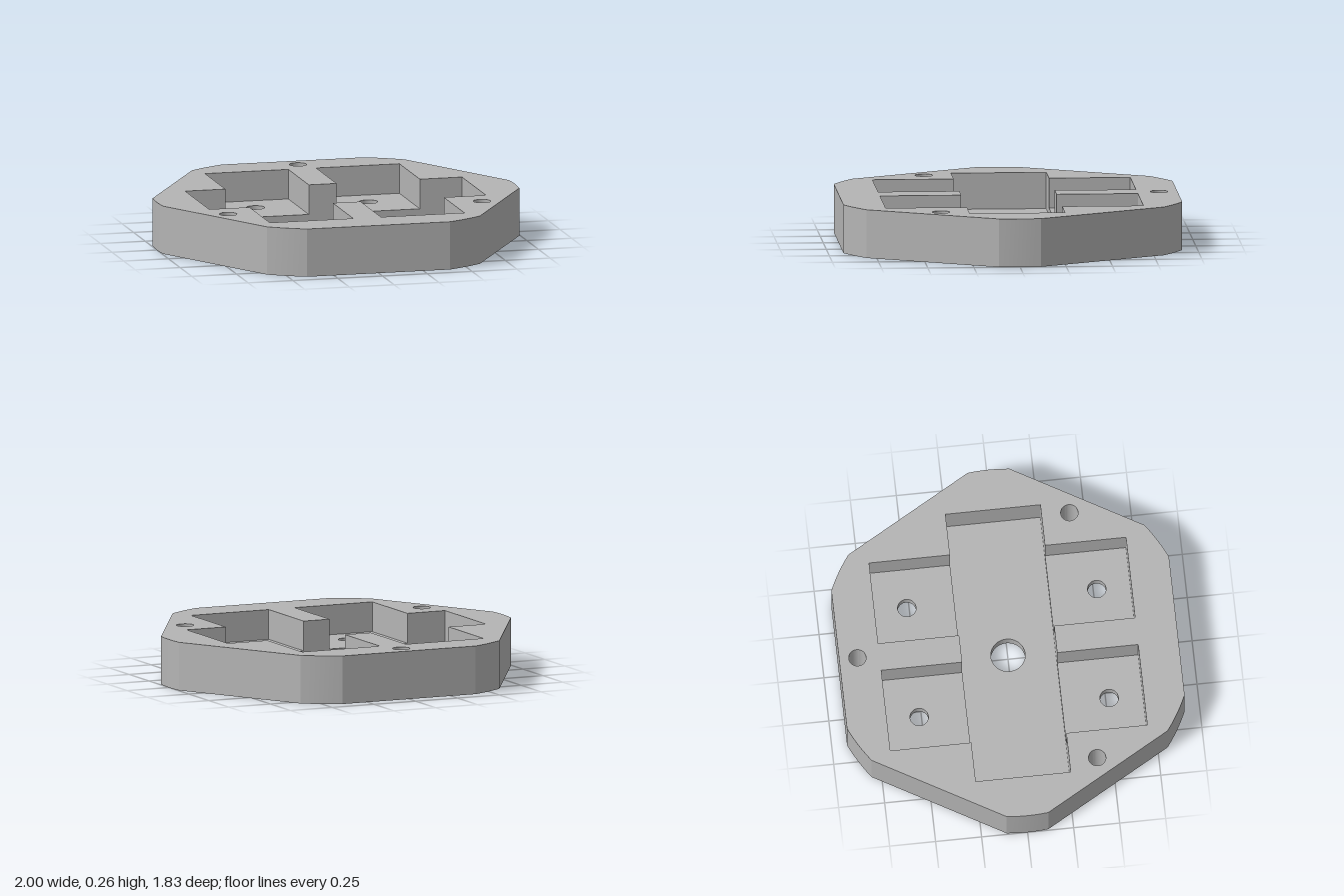
import * as THREE from 'three';
import { toCreasedNormals } from 'three/addons/utils/BufferGeometryUtils.js';

const TOP = 0.263, PAD = 0.1, SLOT = 0.065, SINK = 0.05; // heights of the levels
const R_MOUNT = 0.047, R_PAD = 0.05, R_SINK = 0.095, R_BORE = 0.093;

// All loops are lists of [x, z] running from +x towards +z.
const circle = (cx, cz, r, n = 32) => Array.from({ length: n }, (_, i) => {
  const t = (i / n) * Math.PI * 2;
  return [cx + r * Math.cos(t), cz + r * Math.sin(t)];
});
const rect = (x0, x1, z0, z1) => [[x0, z0], [x1, z0], [x1, z1], [x0, z1]];

// Hexagon whose corners are rounded off by a circle of radius 1
function outline() {
  const pts = [], half = Math.PI / 6 - Math.acos(0.917), steps = 6;
  for (let k = 0; k < 6; k++) {
    for (let i = 0; i <= steps; i++) {
      const t = (k * Math.PI) / 3 + half * ((2 * i) / steps - 1);
      pts.push([Math.cos(t), Math.sin(t)]);
    }
  }
  return pts;
}

// Flat horizontal face with holes, looking up or down
function face(loop, holes, y, up) {
  const s = up ? -1 : 1;
  const vec = (l) => l.map(([x, z]) => new THREE.Vector2(x, s * z));
  const shape = new THREE.Shape(vec(loop));
  shape.holes = holes.map((h) => new THREE.Path(vec(h)));
  return new THREE.ShapeGeometry(shape).rotateX((s * Math.PI) / 2).translate(0, y, 0);
}

// Closed wall between a lower and an upper loop
function wall(lower, y0, upper, y1, outward = false) {
  const pos = [], n = lower.length;
  for (let i = 0; i < n; i++) {
    const j = (i + 1) % n;
    const a = [lower[i][0], y0, lower[i][1]], b = [lower[j][0], y0, lower[j][1]];
    const c = [upper[j][0], y1, upper[j][1]], d = [upper[i][0], y1, upper[i][1]];
    pos.push(...(outward ? [a, d, b, b, d, c] : [a, b, d, b, c, d]).flat());
  }
  const g = new THREE.BufferGeometry();
  g.setAttribute('position', new THREE.Float32BufferAttribute(pos, 3));
  g.computeVertexNormals();
  return toCreasedNormals(g, 0.3);
}

export function createModel() {
  const group = new THREE.Group();
  const metal = new THREE.MeshStandardMaterial({ color: 0xb4b4b4 });
  metal.name = 'grey metal';
  const add = (name, geometry) => {
    const mesh = new THREE.Mesh(geometry, metal);
    mesh.name = name;
    group.add(mesh);
  };

  const body = outline();
  const zs = 0.258, zp = 0.698;
  const slot = rect(-0.775, 0.77, -zs, zs);
  const padSpans = [[-0.55, -0.085], [0.07, 0.535]];

  // Combined outline of the slot and its four side pockets
  const backEdge = [[-0.775, -zs]];
  for (const [a, b] of padSpans) backEdge.push([a, -zs], [a, -zp], [b, -zp], [b, -zs]);
  backEdge.push([0.77, -zs]);
  const pocket = [...backEdge, ...backEdge.map(([x, z]) => [x, -z]).reverse()];

  const mounts = [[0, -0.818], [-0.708, 0.409], [0.708, 0.409]];
  const screws = [-1, 1].flatMap((sx) => [-1, 1].map((sz) => [sx * 0.315, sz * 0.516]));
  const mountLoops = mounts.map(([x, z]) => circle(x, z, R_MOUNT));
  const sinkLoops = screws.map(([x, z]) => circle(x, z, R_SINK));
  const bore = circle(0, 0, R_BORE, 48);

  // Plate shell
  add('plateRim', wall(body, 0, body, TOP, true));
  add('plateTop', face(body, [pocket, ...mountLoops], TOP, true));
  add('plateUnderside', face(body, [bore, ...mountLoops, ...sinkLoops], 0, false));

  // Recess walls and slot floor
  add('pocketWalls', wall(pocket, PAD, pocket, TOP));
  add('slotStep', wall(slot, SLOT, slot, PAD));
  add('slotFloor', face(slot, [bore], SLOT, true));
  add('centreBore', wall(bore, 0, bore, SLOT));

  // Through holes near the rim
  mountLoops.forEach((l) => add('mountingHole', wall(l, 0, l, TOP)));

  // Side pocket floors with countersunk screw holes
  screws.forEach(([x, z], i) => {
    const hole = circle(x, z, R_PAD);
    const [x0, x1] = padSpans[x < 0 ? 0 : 1];
    const area = z < 0 ? rect(x0, x1, -zp, -zs) : rect(x0, x1, zs, zp);
    add('sidePocketFloor', face(area, [hole], PAD, true));
    add('screwHole', wall(hole, SINK, hole, PAD));
    add('countersink', wall(sinkLoops[i], 0, hole, SINK));
  });

  return group;
}
